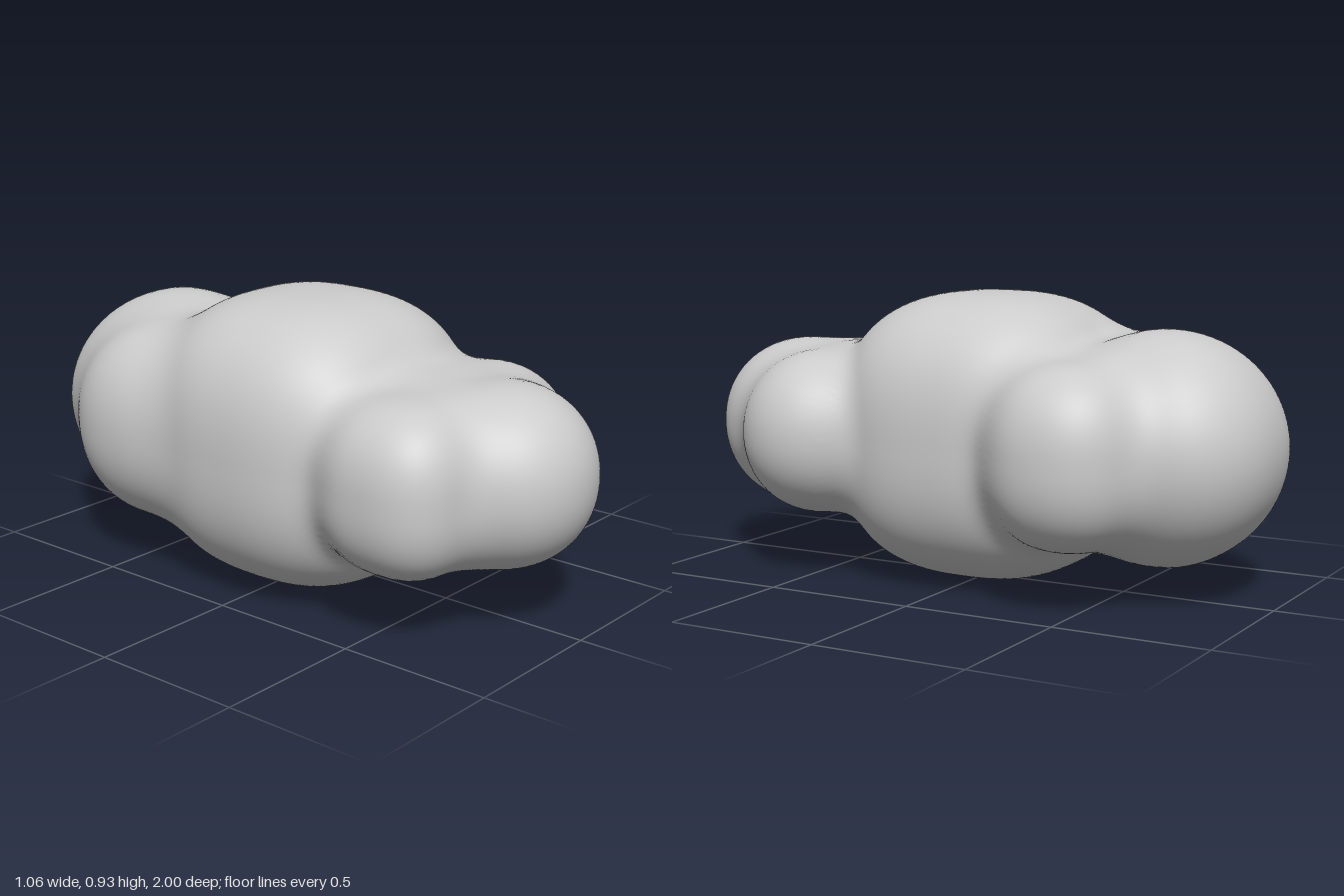
import * as THREE from 'three';
import { mergeVertices } from 'three/addons/utils/BufferGeometryUtils.js';

const MID = 0.47; // every lobe is centred on this height

// Rounded lobes: x, z, radii along x, z and y, squareness in plan and in height
const LOBES = [
  [-0.06, 0, 0.47, 0.48, 0.467, 2.6, 2.6], // main body
  [-0.265, 0.555, 0.265, 0.25, 0.275, 2.6, 2.5], // front right
  [-0.015, 0.705, 0.295, 0.295, 0.285, 2, 2.1], // front tip
  [0.185, 0.51, 0.275, 0.265, 0.27, 2, 2.1], // front left
  [-0.04, 0.46, 0.26, 0.2, 0.275, 2, 2.2], // fill between front and body
  [0.26, -0.445, 0.275, 0.26, 0.29, 2.2, 2.4], // back left
  [-0.02, -0.625, 0.37, 0.375, 0.37, 2.3, 2], // back tip
  [-0.24, -0.45, 0.29, 0.32, 0.33, 2.3, 2.2], // back right
];

// Smooth minimum, which blends two lobes with a fillet of size k
function blend(a, b, k) {
  const h = Math.max(k - Math.abs(a - b), 0) / k;
  return Math.min(a, b) - h * h * k * 0.25;
}

// Negative inside the cloud, positive outside (y measured from MID)
function field(x, y, z) {
  let d = 10;
  for (const [cx, cz, rx, rz, ry, a, b] of LOBES) {
    const plan = Math.abs((x - cx) / rx) ** a + Math.abs((z - cz) / rz) ** a;
    const q = (plan ** (b / a) + Math.abs(y / ry) ** b) ** (1 / b);
    d = blend(d, (q - 1) * Math.min(rx, rz, ry), 0.08);
  }
  return d;
}

export function createModel() {
  const group = new THREE.Group();
  group.name = 'cloud';

  // Evenly divided ball, welded so the normals come out smooth
  let geometry = new THREE.IcosahedronGeometry(1, 36);
  geometry.deleteAttribute('uv');
  geometry.deleteAttribute('normal');
  geometry = mergeVertices(geometry, 1e-4);

  // Push each vertex along its ray from the centre out to the blended surface
  const pos = geometry.attributes.position;
  const v = new THREE.Vector3();
  for (let i = 0; i < pos.count; i++) {
    v.fromBufferAttribute(pos, i);
    v.z *= 2;
    v.normalize();
    let lo = 0, hi = 1.3;
    for (let s = 0; s < 24; s++) {
      const t = (lo + hi) / 2;
      if (field(v.x * t, v.y * t, v.z * t) < 0) lo = t;
      else hi = t;
    }
    v.multiplyScalar(lo);
    pos.setXYZ(i, v.x, v.y + MID, v.z);
  }
  geometry.computeVertexNormals();

  const body = new THREE.Mesh(geometry, new THREE.MeshStandardMaterial({ color: 0xcccccc }));
  body.name = 'lobedBody';
  group.add(body);
  return group;
}
